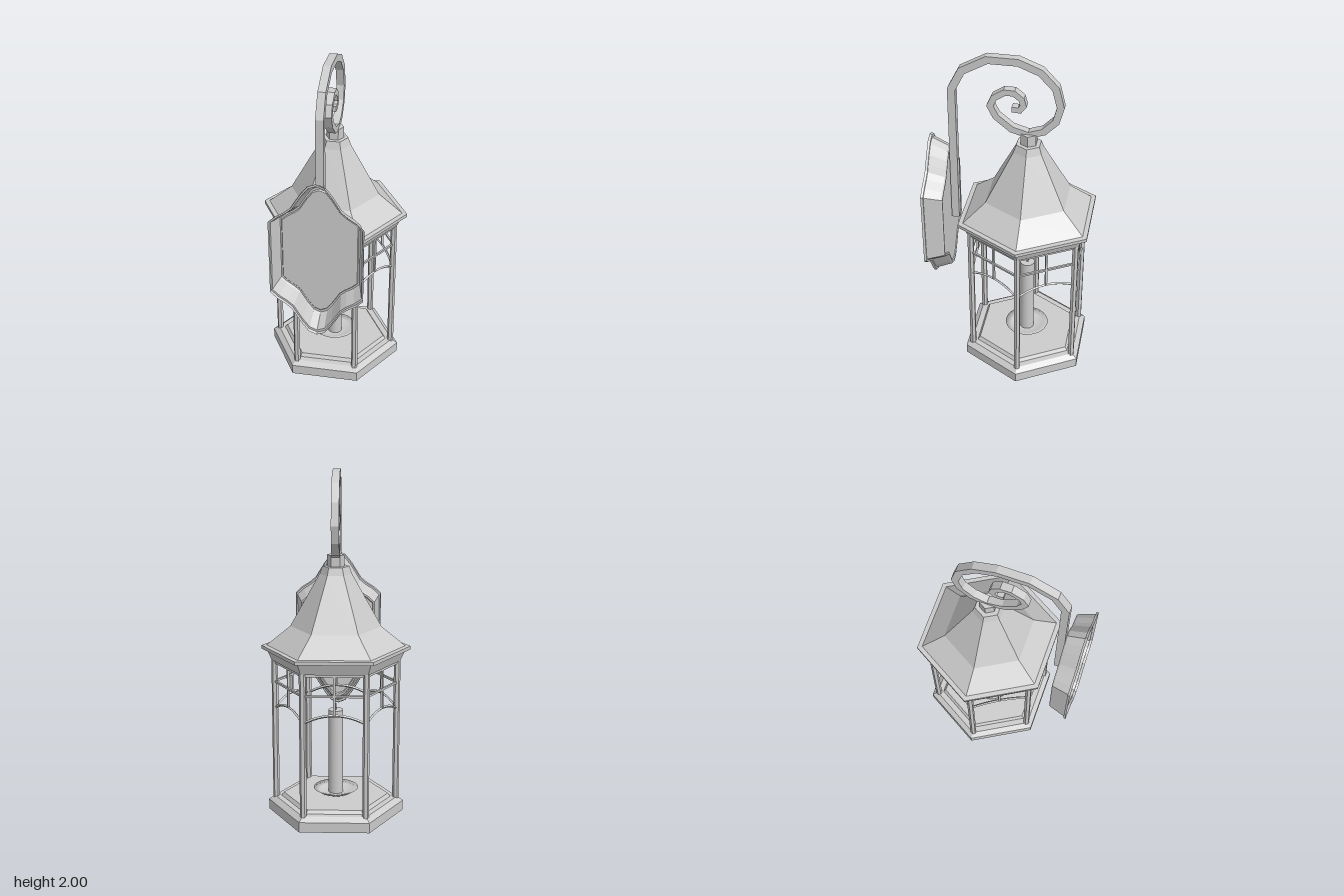
import * as THREE from 'three';

const flat = new THREE.MeshStandardMaterial({ color: 0xcccccc, flatShading: true });
const smooth = new THREE.MeshStandardMaterial({ color: 0xcccccc, side: THREE.DoubleSide });
const AXIS_Z = -0.1; // lantern axis
const POST_R = 0.355;

function add(parent, name, geometry, material = flat) {
  const mesh = new THREE.Mesh(geometry, material);
  mesh.name = name;
  parent.add(mesh);
  return mesh;
}

// Six-sided turned solid from [radius, y] pairs, corners on +x and -x
function hexTurned(profile) {
  const points = profile.map(([r, y]) => new THREE.Vector2(r, y));
  return new THREE.LatheGeometry(points, 6, Math.PI / 2).toNonIndexed();
}

function turned(profile, segments) {
  return new THREE.LatheGeometry(profile.map(([r, y]) => new THREE.Vector2(r, y)), segments);
}

// Mitred flat bar along a [z, y] path, tapering from w0 to w1
function scrollBar(path, w0, w1, depth) {
  const p = path.map(([z, y]) => new THREE.Vector2(z, y));
  const left = [], right = [];
  p.forEach((point, i) => {
    const a = p[Math.max(i - 1, 0)], b = p[Math.min(i + 1, p.length - 1)];
    const d1 = (i > 0 ? point.clone().sub(a) : b.clone().sub(point)).normalize();
    const d2 = (i < p.length - 1 ? b.clone().sub(point) : d1.clone()).normalize();
    const t = d1.clone().add(d2).normalize();
    const half = THREE.MathUtils.lerp(w0, w1, i / (p.length - 1)) / 2 / Math.max(t.dot(d1), 0.6);
    const n = new THREE.Vector2(-t.y, t.x).multiplyScalar(half);
    left.push(point.clone().add(n));
    right.unshift(point.clone().sub(n));
  });
  const geometry = new THREE.ExtrudeGeometry(new THREE.Shape([...left, ...right]), { depth, bevelEnabled: false });
  return geometry.translate(0, 0, -depth / 2).rotateY(-Math.PI / 2);
}

// Hollow dished plate: one outline scaled through rings [z, scale], closed at the last ring
function dishedPlate(quarter, rings) {
  const top = [...quarter, ...quarter.slice(0, -1).reverse().map(([x, y]) => [-x, y])];
  const outline = [...top, ...top.slice().reverse().map(([x, y]) => [x, -y])];
  const n = outline.length, positions = [], index = [];
  rings.forEach(([z, s]) => outline.forEach(([x, y]) => positions.push(x * s, y * s, z)));
  positions.push(0, 0, rings[rings.length - 1][0]);
  for (let i = 0; i < n; i++) {
    const j = (i + 1) % n;
    for (let r = 0; r < rings.length - 1; r++) {
      const a = r * n + i, b = r * n + j;
      index.push(a, a + n, b, b, a + n, b + n);
    }
    const last = (rings.length - 1) * n;
    index.push(last + i, rings.length * n, last + j);
  }
  const geometry = new THREE.BufferGeometry();
  geometry.setAttribute('position', new THREE.Float32BufferAttribute(positions, 3));
  geometry.setIndex(index);
  const split = geometry.toNonIndexed();
  split.computeVertexNormals();
  return split;
}

// One glazing frame, built facing +z
function windowFrame() {
  const frame = new THREE.Group();
  const apothem = POST_R * Math.cos(Math.PI / 6), width = POST_R;
  const bar = (name, w, h, y) =>
    add(frame, name, new THREE.BoxGeometry(w, h, 0.012)).position.set(0, y, apothem);
  bar('topRail', width, 0.016, 0.914);
  bar('crossRail', width, 0.012, 0.795);
  bar('mullion', 0.012, 0.235, 0.8);
  const arch = new THREE.QuadraticBezierCurve3(
    new THREE.Vector3(-width / 2, 0.635, apothem),
    new THREE.Vector3(0, 0.733, apothem),
    new THREE.Vector3(width / 2, 0.635, apothem));
  add(frame, 'arch', new THREE.TubeGeometry(arch, 12, 0.008, 4));
  return frame;
}

export function createModel() {
  const model = new THREE.Group();
  model.name = 'wallLantern';
  const lantern = new THREE.Group();
  lantern.name = 'lantern';
  lantern.position.z = AXIS_Z;
  model.add(lantern);

  // Stepped base
  add(lantern, 'base', hexTurned([
    [0, 0], [0.4, 0], [0.4, 0.06], [0.365, 0.085], [0.325, 0.085], [0.31, 0.105], [0, 0.105]]));

  // Corner posts and window frames
  for (let i = 0; i < 6; i++) {
    const angle = i * Math.PI / 3;
    const post = add(lantern, 'post', new THREE.CylinderGeometry(0.019, 0.019, 0.85, 6, 1, false, Math.PI / 2));
    post.position.set(POST_R * Math.cos(angle), 0.5, POST_R * Math.sin(angle));
    post.rotation.y = -angle;
    const frame = windowFrame();
    frame.name = 'windowFrame';
    frame.rotation.y = angle;
    lantern.add(frame);
  }

  // Roof with eaves, and the cap that carries the scroll
  add(lantern, 'roof', hexTurned([
    [0, 0.922], [0.372, 0.922], [0.4, 0.985], [0.43, 0.99], [0.43, 1.01], [0.4, 1.012],
    [0.262, 1.125], [0.092, 1.43], [0.076, 1.475], [0, 1.475]]));
  add(lantern, 'roofCap', hexTurned([[0.05, 1.47], [0.05, 1.54], [0, 1.54]]));

  // Candle on its drip dish
  add(lantern, 'dripDish', turned([
    [0, 0.105], [0.06, 0.105], [0.1, 0.12], [0.132, 0.142], [0.095, 0.128], [0.055, 0.115], [0, 0.115]], 24), smooth);
  add(lantern, 'candle', new THREE.CylinderGeometry(0.043, 0.043, 0.51, 20), smooth).position.y = 0.37;
  add(lantern, 'wick', new THREE.CylinderGeometry(0.003, 0.006, 0.04, 6)).position.y = 0.642;

  // Scrolled hanging arm, as [z, y]
  add(model, 'scrollArm', scrollBar([
    [0.331, 0.92], [0.331, 1.78], [0.27, 1.9], [0.13, 1.979], [-0.04, 1.979], [-0.163, 1.93],
    [-0.247, 1.84], [-0.276, 1.725], [-0.252, 1.635], [-0.185, 1.565], [-0.1, 1.535], [-0.005, 1.563],
    [0.083, 1.635], [0.115, 1.7], [0.093, 1.752], [0.034, 1.791], [-0.018, 1.791], [-0.06, 1.757],
    [-0.071, 1.717], [-0.05, 1.688], [-0.005, 1.69]], 0.045, 0.032, 0.045));

  // Hollow wall plate with a rolled lip, open towards the wall
  const plate = add(model, 'wallPlate', dishedPlate(
    [[0.266, 0.23], [0.225, 0.268], [0.175, 0.3], [0.14, 0.33], [0.115, 0.372], [0.085, 0.42], [0.045, 0.472], [0, 0.49]],
    [[0.47, 1], [0.456, 0.985], [0.456, 0.955], [0.362, 0.865], [0.354, 0.845], [0.354, 0.815], [0.36, 0.8]]),
    smooth);
  plate.position.y = 0.98;

  return model;
}
